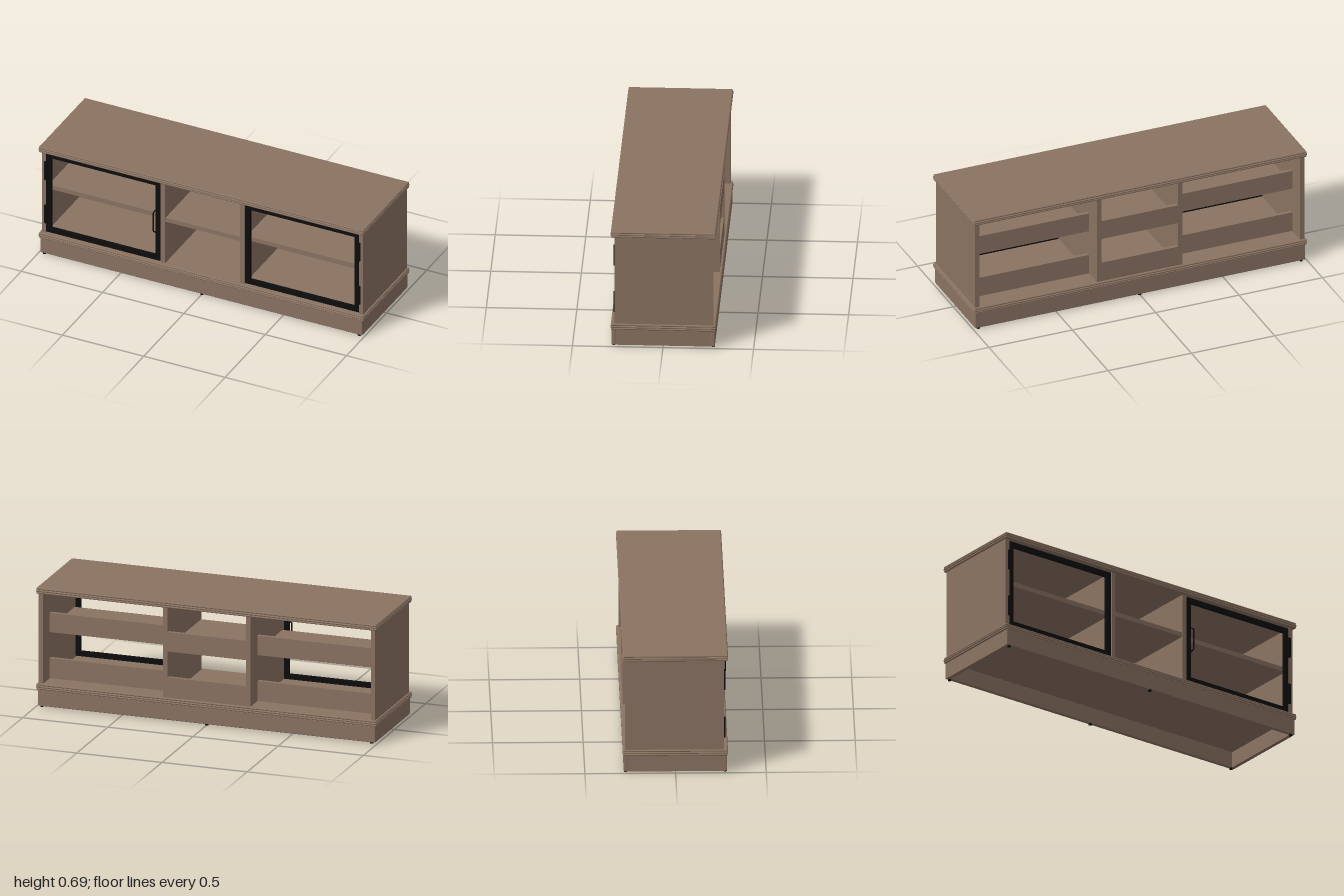
import * as THREE from 'three';
import { RoundedBoxGeometry } from 'three/addons/geometries/RoundedBoxGeometry.js';

const wood = new THREE.MeshStandardMaterial({ color: 0x8a7362 });
wood.name = 'brown wood';
const black = new THREE.MeshStandardMaterial({ color: 0x0d0d0d });
black.name = 'black metal';

function add(parent, name, geometry, material) {
  const mesh = new THREE.Mesh(geometry, material);
  mesh.name = name;
  parent.add(mesh);
  return mesh;
}

// Box given by its minimum and maximum on each axis
function box(parent, name, material, [x0, x1], [y0, y1], [z0, z1], radius = 0) {
  const size = [x1 - x0, y1 - y0, z1 - z0];
  const geometry = radius
    ? new RoundedBoxGeometry(...size, 3, radius)
    : new THREE.BoxGeometry(...size);
  geometry.translate((x0 + x1) / 2, (y0 + y1) / 2, (z0 + z1) / 2);
  return add(parent, name, geometry, material);
}

// Slab whose edge is made of three stacked rounded beads
function beadedSlab(parent, name, y0, y1) {
  const slab = new THREE.Group();
  slab.name = name;
  const h = (y1 - y0) / 3;
  for (let i = 0; i < 3; i++) {
    const inset = i === 1 ? 0 : 0.002;
    box(slab, 'bead', wood, [-1 + inset, 1 - inset], [y0 + i * h, y0 + (i + 1) * h],
      [-0.291 + inset, 0.29 - inset], 0.0054);
  }
  parent.add(slab);
}

// Inset door frame with handle and hinges, on side s (+1 or -1)
function door(s) {
  const g = new THREE.Group();
  g.name = s > 0 ? 'leftDoor' : 'rightDoor';
  const [inner, outer, y0, y1, w] = [0.262, 0.961, 0.14, 0.65, 0.028];
  const rect = (x0, x1, b, t, Type) => {
    const p = new Type();
    p.moveTo(x0, b).lineTo(x1, b).lineTo(x1, t).lineTo(x0, t).closePath();
    return p;
  };
  const [xa, xb] = s > 0 ? [inner, outer] : [-outer, -inner];
  const shape = rect(xa, xb, y0, y1, THREE.Shape);
  shape.holes.push(rect(xa + w, xb - w, y0 + w, y1 - w, THREE.Path));
  const frame = new THREE.ExtrudeGeometry(shape, { depth: 0.02, bevelEnabled: false });
  frame.translate(0, 0, 0.247);
  add(g, 'doorFrame', frame, black);

  // Bow handle
  const pts = [[0.283, 0.312, 0.262], [0.285, 0.32, 0.269], [0.293, 0.338, 0.287],
    [0.293, 0.452, 0.287], [0.285, 0.469, 0.269], [0.283, 0.477, 0.262]]
    .map(([x, y, z]) => new THREE.Vector3(s * x, y, z));
  const path = new THREE.CatmullRomCurve3(pts, false, 'catmullrom', 0.15);
  add(g, 'handle', new THREE.TubeGeometry(path, 48, 0.0036, 8, false), black);

  // Hinges along the outer stile
  for (const y of [0.195, 0.475]) {
    const [h0, h1] = s > 0 ? [0.953, 0.971] : [-0.971, -0.953];
    box(g, 'hinge', black, [h0, h1], [y, y + 0.12], [0.258, 0.276], 0.004);
  }
  return g;
}

export function createModel() {
  const model = new THREE.Group();
  model.name = 'mediaCabinet';

  beadedSlab(model, 'topSlab', 0.655, 0.689);
  beadedSlab(model, 'baseSlab', 0.1, 0.134);

  // Hollow plinth, open underneath
  const py = [0.007, 0.102];
  box(model, 'plinthFront', wood, [-0.99, 0.99], py, [0.262, 0.284], 0.004);
  box(model, 'plinthBack', wood, [-0.99, 0.99], py, [-0.286, -0.264], 0.004);
  for (const s of [-1, 1]) {
    const x = s > 0 ? [0.967, 0.989] : [-0.989, -0.967];
    box(model, 'plinthSide', wood, x, py, [-0.275, 0.273]);
  }

  // Feet
  for (const x of [-0.968, 0, 0.968]) {
    for (const z of [-0.275, 0.274]) {
      add(model, 'foot', new THREE.CylinderGeometry(0.0095, 0.0095, 0.009, 16), black)
        .position.set(x, 0.0045, z);
    }
  }

  // Upright panels
  const uy = [0.132, 0.657];
  const uz = [-0.277, 0.268];
  for (const s of [-1, 1]) {
    box(model, 'sidePanel', wood, s > 0 ? [0.962, 0.988] : [-0.988, -0.962], uy, uz);
    box(model, 'divider', wood, s > 0 ? [0.23, 0.257] : [-0.257, -0.23], uy, uz);
    model.add(door(s));
  }

  // Shelf and back rails in each bay; the outer rails sit further forward
  const bays = [
    { x: [-0.962, -0.257], back: -0.167, front: 0.235 },
    { x: [-0.23, 0.23], back: -0.276, front: 0.262 },
    { x: [0.257, 0.962], back: -0.167, front: 0.235 },
  ];
  for (const { x, back, front } of bays) {
    box(model, 'shelf', wood, x, [0.4, 0.426], [back + 0.022, front]);
    box(model, 'upperBackRail', wood, x, [0.4, 0.512], [back, back + 0.022]);
    box(model, 'lowerBackRail', wood, x, [0.132, 0.25], [back, back + 0.022]);
  }
  return model;
}
